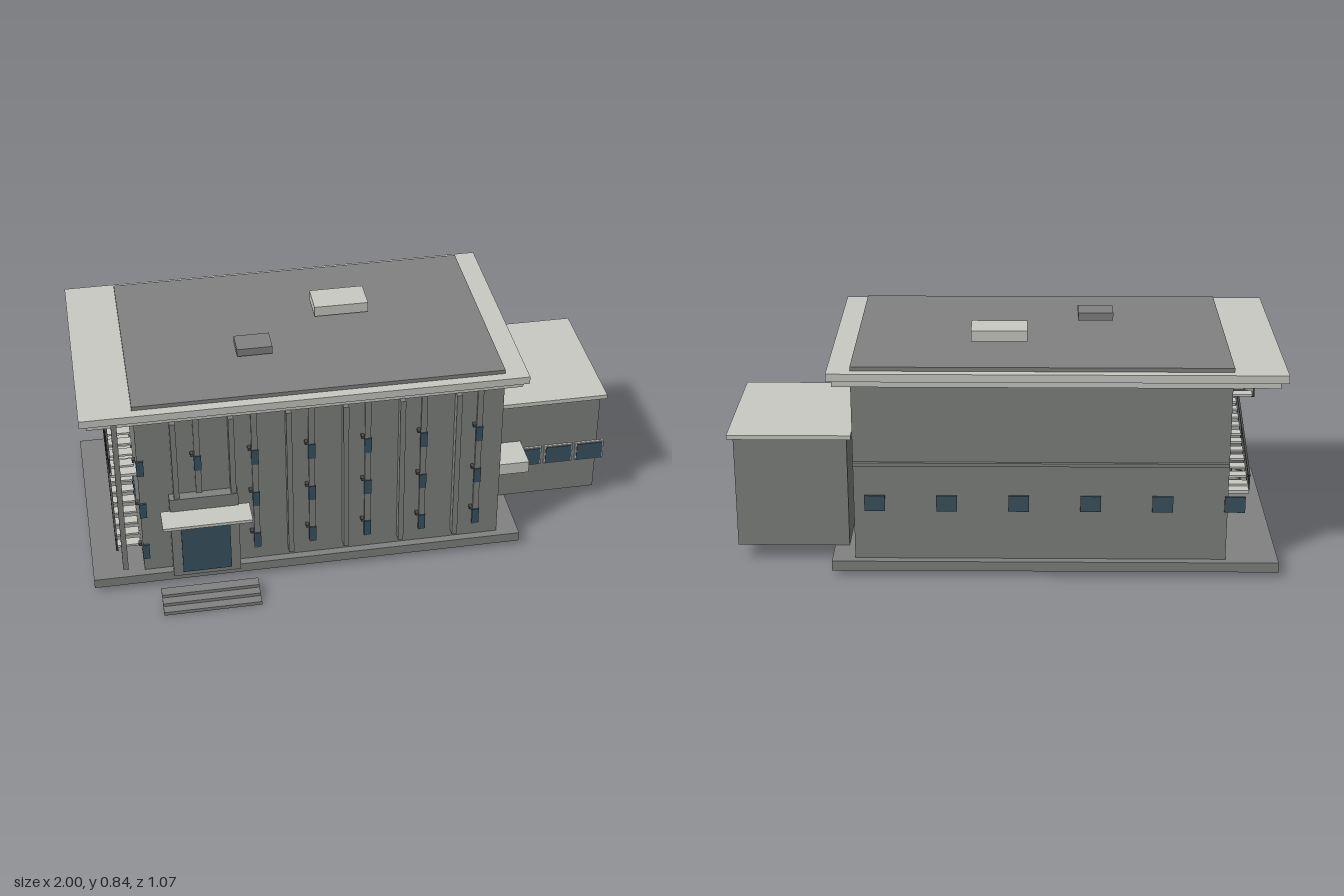
import * as THREE from 'three';

const mat = (name, color) => Object.assign(new THREE.MeshStandardMaterial({ color }), { name });

export function createModel() {
  const wall = mat('concrete grey', 0x808280);
  const trim = mat('pale stone', 0xc9cac4);
  const glass = mat('blue glass', 0x3a5360);
  const dark = mat('dark metal', 0x4a4c4c);
  const building = new THREE.Group();
  building.name = 'building';

  // Box given by its extents along each axis
  function box(name, m, x0, x1, y0, y1, z0, z1, parent = building) {
    const mesh = new THREE.Mesh(new THREE.BoxGeometry(x1 - x0, y1 - y0, z1 - z0), m);
    mesh.position.set((x0 + x1) / 2, (y0 + y1) / 2, (z0 + z1) / 2);
    mesh.name = name;
    parent.add(mesh);
    return mesh;
  }
  function group(name) {
    const g = new THREE.Group();
    g.name = name;
    building.add(g);
    return g;
  }

  // Main block and layered roof
  box('foundationSlab', wall, -1, 0.613, 0.02, 0.057, -0.525, 0.36);
  box('mainBlock', wall, -0.81, 0.53, 0.057, 0.725, -0.495, 0.33);
  box('lowerCornice', trim, -0.975, 0.595, 0.722, 0.748, -0.51, 0.343);
  box('upperCornice', trim, -1, 0.613, 0.748, 0.777, -0.53, 0.365);
  box('roofDeck', wall, -0.813, 0.53, 0.777, 0.792, -0.497, 0.328);
  box('smallRoofUnit', wall, -0.41, -0.28, 0.802, 0.832, -0.003, 0.09);
  box('largeRoofUnit', trim, -0.09, 0.113, 0.803, 0.843, -0.25, -0.128);
  box('porchColumn', wall, -0.89, -0.87, 0.09, 0.75, 0.335, 0.358);

  // Front facade: pilasters, narrow window strips, small lamps
  const facade = group('frontFacade');
  for (let i = 0; i < 6; i++) {
    const x = -0.677 + i * 0.207;
    box('pilaster', wall, x - 0.01, x + 0.01, 0.09, 0.724, 0.325, 0.363, facade);
  }
  const rows = [[0.117, 0.18], [0.308, 0.37], [0.497, 0.56]];
  for (let i = 0; i < 7; i++) {
    const x = -0.8 + i * 0.207;
    if (i > 0) box('windowStrip', wall, x - 0.011, x + 0.011, 0.11, 0.724, 0.325, 0.338, facade);
    for (const [y0, y1] of rows) {
      box('frontWindow', glass, x - 0.013, x + 0.013, y0, y1, 0.334, 0.342, facade);
      box('wallLamp', dark, x - 0.026, x - 0.014, y1 + 0.008, y1 + 0.018, 0.33, 0.35, facade);
    }
  }

  // Side and back windows
  const windows = group('wallWindows');
  const sideWindow = (x, z, [y0, y1]) =>
    box('sideWindow', glass, x - 0.004, x + 0.004, y0, y1, z - 0.034, z + 0.034, windows);
  for (let i = 0; i < 4; i++) sideWindow(0.533, 0.205 - i * 0.18, [0.497, 0.556]);
  sideWindow(0.533, 0.205, rows[0]);
  sideWindow(0.533, 0.205, rows[1]);
  for (const z of [-0.32, -0.06]) for (const r of rows) sideWindow(-0.813, z, r);
  for (let i = 0; i < 6; i++) {
    const x = 0.455 - i * 0.258;
    box('backWindow', glass, x - 0.037, x + 0.037, 0.245, 0.305, -0.502, -0.494, windows);
  }
  box('backLedge', wall, -0.81, 0.53, 0.421, 0.434, -0.507, -0.49);

  // Entrance
  const entrance = group('entrance');
  box('portal', wall, -0.705, -0.455, 0.04, 0.395, 0.32, 0.367, entrance);
  box('entranceGlass', glass, -0.67, -0.49, 0.065, 0.29, 0.372, 0.379, entrance);
  box('entranceCanopy', trim, -0.74, -0.415, 0.33, 0.342, 0.36, 0.462, entrance);
  for (let i = 0; i < 3; i++) {
    const z = 0.535 - i * 0.034;
    box('step', wall, -0.76, -0.4, i * 0.0125, 0.014 + i * 0.0125, z - 0.04, z, entrance);
  }

  // Side annex
  const annex = group('annex');
  box('annexBlock', wall, 0.56, 0.97, 0.057, 0.484, -0.39, 0.12, annex);
  box('annexRoof', trim, 0.543, 0.99, 0.483, 0.5, -0.413, 0.14, annex);
  box('sideDoorCanopy', trim, 0.545, 0.665, 0.262, 0.31, 0.12, 0.255, annex);
  for (let i = 0; i < 3; i++) {
    const x = 0.637 + i * 0.124;
    box('annexWindowFrame', trim, x, x + 0.112, 0.197, 0.279, 0.122, 0.13, annex);
    box('annexWindow', glass, x + 0.005, x + 0.107, 0.202, 0.274, 0.127, 0.134, annex);
  }

  // Zigzag fire stair on the building's right side
  const stair = group('fireStair');
  const levels = [0.08, 0.27, 0.45, 0.635];
  const zFront = 0.22, zBack = -0.33, steps = 12;
  for (let f = 0; f < 3; f++) {
    const [za, zb] = f % 2 ? [zBack, zFront] : [zFront, zBack];
    const ya = levels[f], yb = levels[f + 1];
    for (let i = 0; i < steps; i++) {
      const t = (i + 0.5) / steps;
      const z = za + (zb - za) * t, y = ya + (yb - ya) * t;
      box('stairTread', trim, -0.9, -0.815, y - 0.004, y + 0.004, z - 0.02, z + 0.02, stair);
    }
    // Sloping stringer and handrail along the outer edge
    const length = Math.hypot(zb - za, yb - ya);
    for (const lift of [-0.008, 0.045]) {
      const rail = box('stairRail', dark, -0.907, -0.899, -0.004, 0.004, -length / 2, length / 2, stair);
      rail.position.set(-0.903, (ya + yb) / 2 + lift, (za + zb) / 2);
      rail.rotation.x = -Math.atan2(yb - ya, zb - za);
      if (zb < za) rail.rotation.x = Math.atan2(yb - ya, za - zb);
    }
    for (const t of [0, 0.5, 1]) {
      const y = ya + (yb - ya) * t, z = za + (zb - za) * t;
      box('railPost', dark, -0.906, -0.9, y - 0.008, y + 0.045, z - 0.003, z + 0.003, stair);
    }
    if (f < 2) box('stairLanding', trim, -0.9, -0.81, yb - 0.008, yb + 0.004, zb - 0.04, zb + 0.04, stair);
  }

  return building;
}
